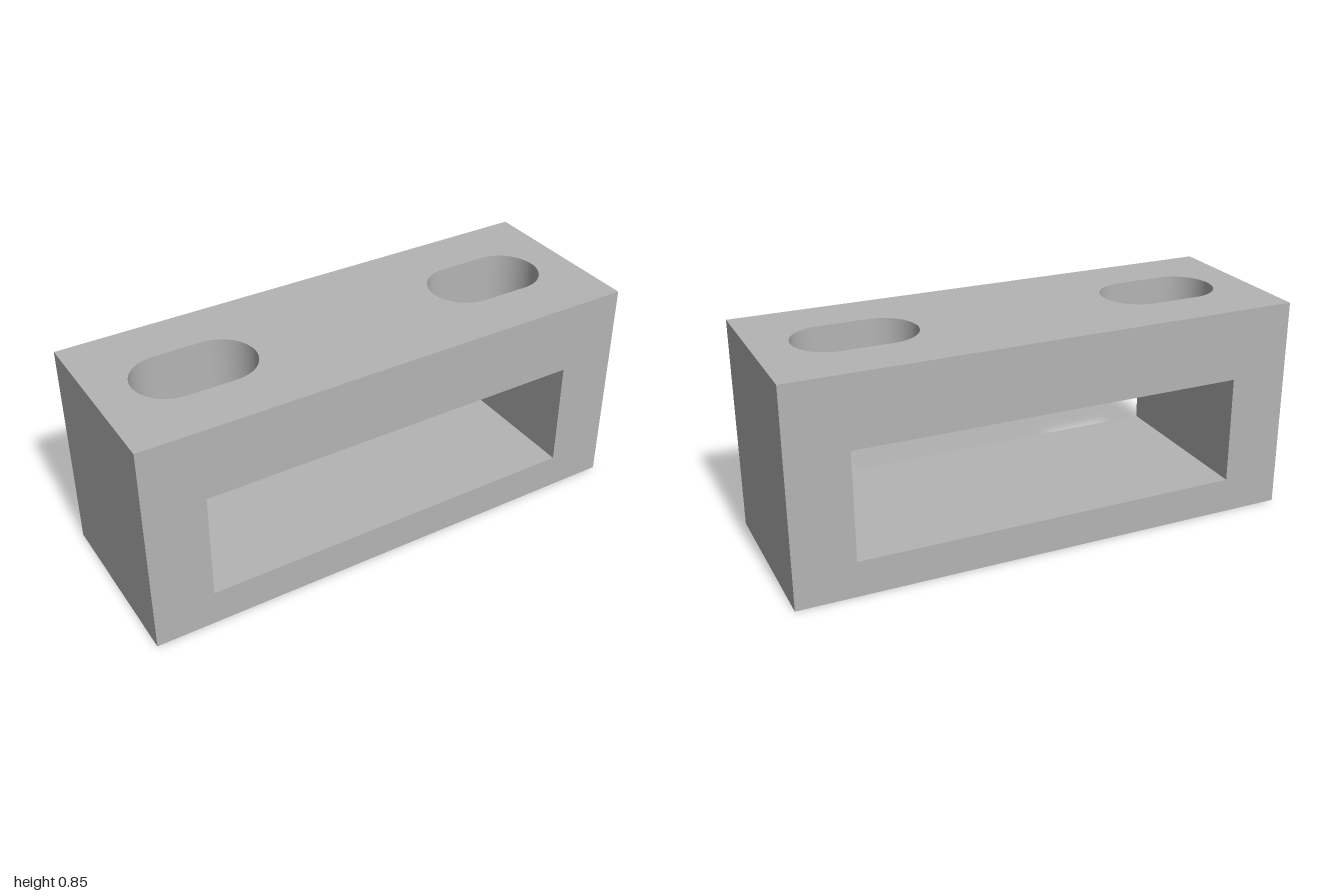
import * as THREE from 'three';

// Half width, height, half depth
const W = 1, H = 0.845, D = 0.354;
// Window: half width, floor and ceiling heights
const WX = 0.767, WY0 = 0.14, WY1 = 0.567;
// Slots: radius, arc centres, ledge height
const R = 0.142, C0 = 0.527, C1 = 0.715, LEDGE = 0.545;
// Angle at which the slot's outer arc meets the window's end wall
const A = Math.acos((WX - C1) / R), HALF = R * Math.sin(A);

// Points along an arc, each with its angle
function arc(cx, from, to, n) {
  return Array.from({ length: n + 1 }, (_, i) => {
    const a = from + (to - from) * i / n;
    return { x: cx + R * Math.cos(a), y: R * Math.sin(a), a };
  });
}

// Smooth upright wall that faces into the slot
function slotWall(points, y0, y1) {
  const pos = [], nor = [], idx = [];
  points.forEach((p, i) => {
    for (const y of [y0, y1]) {
      pos.push(p.x, y, -p.y);
      nor.push(-Math.cos(p.a), 0, Math.sin(p.a));
    }
    const b = 2 * i;
    if (i) idx.push(b - 2, b - 1, b, b, b - 1, b + 1);
  });
  const g = new THREE.BufferGeometry();
  g.setAttribute('position', new THREE.Float32BufferAttribute(pos, 3));
  g.setAttribute('normal', new THREE.Float32BufferAttribute(nor, 3));
  g.setIndex(idx);
  return g;
}

const vec = (x, y) => new THREE.Vector2(x, y);
const toVec = (pts, s = 1) => pts.map(p => vec(s * p.x, s * p.y));
const rect = (x0, y0, x1, y1) => [vec(x0, y0), vec(x1, y0), vec(x1, y1), vec(x0, y1)];
function face(points, holes = []) {
  const shape = new THREE.Shape(points);
  holes.forEach(h => shape.holes.push(new THREE.Path(h)));
  return new THREE.ShapeGeometry(shape);
}

export function createModel() {
  const model = new THREE.Group();
  const grey = new THREE.MeshStandardMaterial({ color: 0xb4b4b4 });
  grey.name = 'grey';
  const add = (parent, name, geometry) => {
    const mesh = new THREE.Mesh(geometry, grey);
    mesh.name = name;
    parent.add(mesh);
  };

  // Slot outline: outer end arc, then the part above the window
  const outer = arc(C1, -A, A, 24);
  const inner = [
    ...arc(C1, A, Math.PI / 2, 6),
    ...arc(C0, Math.PI / 2, 1.5 * Math.PI, 32),
    ...arc(C1, 1.5 * Math.PI, 2 * Math.PI - A, 6),
  ];
  const slot = [...outer.slice(0, -1), ...inner.slice(0, -1)];

  // Front and back with the window opening
  const frame = face(rect(-W, 0, W, H), [rect(-WX, WY0, WX, WY1)]);
  add(model, 'frontFace', frame.clone().translate(0, 0, D));
  add(model, 'backFace', frame.clone().rotateY(Math.PI).translate(0, 0, -D));

  // Top with two slots, plain base, window floor
  add(model, 'topFace', face(rect(-W, -D, W, D), [toVec(slot), toVec(slot, -1)])
    .rotateX(-Math.PI / 2).translate(0, H, 0));
  add(model, 'baseFace', new THREE.PlaneGeometry(2 * W, 2 * D).rotateX(Math.PI / 2));
  add(model, 'windowFloor', new THREE.PlaneGeometry(2 * WX, 2 * D)
    .rotateX(-Math.PI / 2).translate(0, WY0, 0));

  // Window ceiling, open at both ends where the slots break through
  const back = [...inner].reverse();
  add(model, 'windowCeiling', face([
    vec(WX, -D), ...toVec(back), vec(WX, D),
    vec(-WX, D), ...toVec(back, -1), vec(-WX, -D),
  ]).rotateX(Math.PI / 2).translate(0, WY1, 0));

  // Each end: outer side, notched window wall, slot walls and ledge
  for (const [name, turn] of [['leftEnd', 0], ['rightEnd', Math.PI]]) {
    const end = new THREE.Group();
    end.name = name;
    end.rotation.y = turn;
    add(end, 'sideFace', new THREE.PlaneGeometry(2 * D, H)
      .rotateY(Math.PI / 2).translate(W, H / 2, 0));
    add(end, 'windowWall', face([
      vec(-D, WY0), vec(D, WY0), vec(D, WY1), vec(HALF, WY1),
      vec(HALF, LEDGE), vec(-HALF, LEDGE), vec(-HALF, WY1), vec(-D, WY1),
    ]).rotateY(-Math.PI / 2).translate(WX, 0, 0));
    add(end, 'slotOuterWall', slotWall(outer, LEDGE, H));
    add(end, 'slotInnerWall', slotWall(inner, WY1, H));
    add(end, 'slotLedge', face(toVec(outer)).rotateX(-Math.PI / 2).translate(0, LEDGE, 0));
    model.add(end);
  }
  return model;
}
